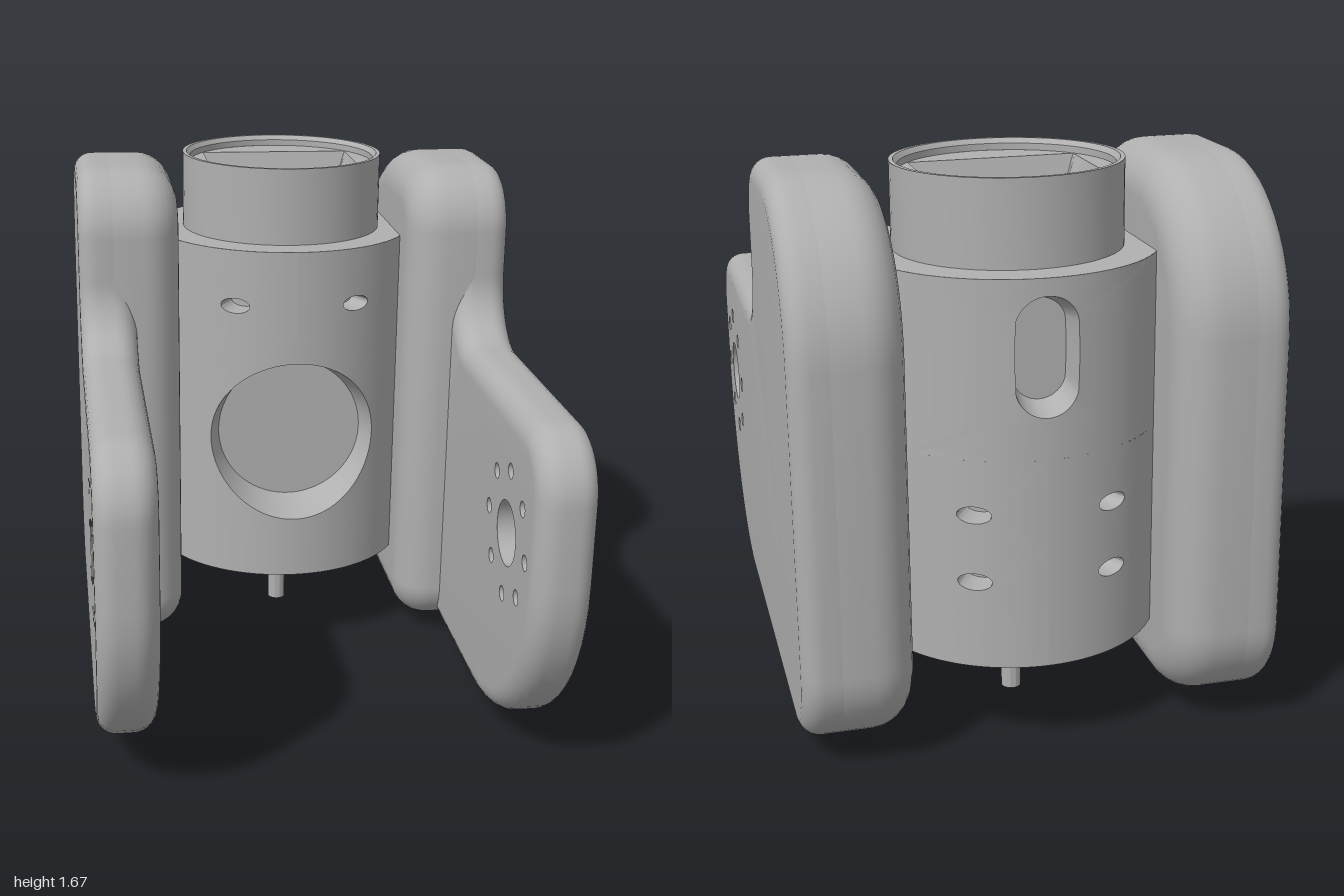
import * as THREE from 'three';
import { mergeGeometries, toCreasedNormals } from 'three/addons/utils/BufferGeometryUtils.js';

const R = 0.435; // body radius
const AXIS = [-0.015, 0, -0.525]; // body axis

// Skin closed rings of [x, y, z] points, one after the other
function loft(rings) {
  const n = rings[0].length, index = [];
  for (let i = 0; i < rings.length - 1; i++) {
    for (let j = 0; j < n; j++) {
      const k = (j + 1) % n, a = i * n, b = a + n;
      index.push(a + j, a + k, b + k, a + j, b + k, b + j);
    }
  }
  const g = new THREE.BufferGeometry();
  g.setAttribute('position', new THREE.Float32BufferAttribute(rings.flat(2), 3));
  g.setIndex(index);
  return g;
}

// Points around a rectangle, counter-clockwise, corners included
function perimeter(x0, x1, y0, y1, n) {
  const c = [[x0, y0], [x1, y0], [x1, y1], [x0, y1]], out = [];
  for (let s = 0; s < 4; s++) {
    const a = c[s], b = c[(s + 1) % 4];
    for (let i = 0; i < n; i++) out.push([a[0] + (b[0] - a[0]) * i / n, a[1] + (b[1] - a[1]) * i / n]);
  }
  return out;
}

// Polygon with rounded corners, given as [x, y, radius]
function roundedShape(corners) {
  const shape = new THREE.Shape(), n = corners.length;
  corners.forEach(([x, y, r], i) => {
    const c = new THREE.Vector2(x, y);
    const toward = (k, d) => {
      const o = corners[(i + k + n) % n];
      return new THREE.Vector2(o[0], o[1]).sub(c).setLength(d).add(c);
    };
    const a = toward(-1, r), b = toward(1, r), h = toward(-1, r * 0.45), k = toward(1, r * 0.45);
    if (i === 0) shape.moveTo(a.x, a.y); else shape.lineTo(a.x, a.y);
    shape.bezierCurveTo(h.x, h.y, k.x, k.y, b.x, b.y);
  });
  shape.closePath();
  return shape;
}

// Slab from depth q0 to q1 with a different edge rounding on each face
function roundedSlab(shape, q0, q1, r0, r1, holes = []) {
  let pts = shape.getPoints(14);
  pts = pts.filter((p, i) => p.distanceTo(pts[(i + 1) % pts.length]) > 1e-5);
  const n = pts.length;
  const normals = pts.map((p, i) => {
    const a = p.clone().sub(pts[(i + n - 1) % n]).normalize();
    const t = pts[(i + 1) % n].clone().sub(p).normalize().add(a).normalize();
    return new THREE.Vector2(t.y, -t.x);
  });
  const inset = d => pts.map((p, i) => p.clone().addScaledVector(normals[i], -d));
  const ring = (d, q) => inset(d).map(p => [p.x, p.y, q]);
  const rings = [], steps = 7;
  for (let i = 0; i <= steps; i++) {
    const f = i / steps * Math.PI / 2;
    rings.push(ring(r0 * (1 - Math.sin(f)), q0 + r0 * (1 - Math.cos(f))));
  }
  for (let i = 0; i <= steps; i++) {
    const f = i / steps * Math.PI / 2;
    rings.push(ring(r1 * (1 - Math.cos(f)), q1 - r1 * (1 - Math.sin(f))));
  }
  const cap = (d, q, flip) => {
    const s = new THREE.Shape(inset(d));
    for (const [x, y, r] of holes) s.holes.push(new THREE.Path().absarc(x, y, r, 0, Math.PI * 2, true));
    const g = new THREE.ShapeGeometry(s, 16).translate(0, 0, q);
    if (flip) g.index.array.reverse();
    g.deleteAttribute('normal');
    g.deleteAttribute('uv');
    return g;
  };
  return toCreasedNormals(mergeGeometries([loft(rings), cap(r0, q0, true), cap(r1, q1, false)]), 0.6);
}

// Piece of the body wall with a pocket; angles are measured from the front
function pocketTile(a0, a1, y0, y1, ac, yc, edge, scale, floorZ) {
  const rect = perimeter(a0 - ac, a1 - ac, y0 - yc, y1 - yc, 24);
  const hole = rect.map(([a, y]) => edge(Math.atan2(y, a * R)));
  const rings = [];
  for (let k = 0; k <= 6; k++) {
    rings.push(rect.map(([a, y], i) => {
      const t = k / 6, b = a + (Math.asin(hole[i][0] / R) - a) * t;
      return [R * Math.sin(b), yc + y + (hole[i][1] - y) * t, R * Math.cos(b)];
    }));
  }
  rings.push(hole.map(([x, y]) => [x * scale, yc + y * scale, floorZ]));
  rings.push(hole.map(() => [0, yc, floorZ]));
  return toCreasedNormals(loft(rings), 0.5).rotateY(ac);
}

export function createModel() {
  const grey = new THREE.MeshStandardMaterial({ color: 0xb0b0b0, side: THREE.DoubleSide });
  grey.name = 'grey';
  const model = new THREE.Group();
  const add = (parent, name, geometry) => {
    const m = new THREE.Mesh(geometry, grey);
    m.name = name;
    parent.add(m);
    return m;
  };
  const lathe = pts => toCreasedNormals(
    new THREE.LatheGeometry(pts.map(p => new THREE.Vector2(...p)), 72), 0.5);

  // Side arms: a holed plate with a thicker rear block
  const plateShape = roundedShape([
    [-0.98, 0.055, 0.62], [0.985, 0.055, 0.27], [0.985, 1.655, 0.46],
    [0.105, 1.655, 0.2], [0.105, 1.125, 0.19], [-0.98, 1.125, 0.2]]);
  const blockShape = roundedShape([
    [0.105, 0.055, 0.14], [0.985, 0.055, 0.27], [0.985, 1.655, 0.46], [0.105, 1.655, 0.2]]);
  const holes = [[-0.663, 0.73, 0.1]];
  for (let i = 0; i < 8; i++) {
    const a = i * Math.PI / 4 + 0.04;
    holes.push([-0.663 + 0.2 * Math.cos(a), 0.73 + 0.2 * Math.sin(a), 0.024]);
  }
  const plate = roundedSlab(plateShape, 0.52, 0.7, 0.07, 0.06, holes);
  const block = roundedSlab(blockShape, 0.375, 0.6, 0.12, 0.01);
  for (const side of [1, -1]) {
    const arm = new THREE.Group();
    arm.name = side > 0 ? 'leftArm' : 'rightArm';
    const frame = new THREE.Group();
    frame.rotation.y = Math.PI / 2;
    add(frame, 'armPlate', plate);
    add(frame, 'armBlock', block);
    for (const [x, y, r] of holes) {
      const wall = new THREE.CylinderGeometry(r, r, 0.18, 32, 1, true).rotateX(Math.PI / 2);
      add(frame, 'holeWall', wall).position.set(x, y, 0.61);
    }
    arm.add(frame);
    arm.scale.x = side;
    arm.position.x = AXIS[0];
    model.add(arm);
  }

  // Body wall
  const body = new THREE.Group();
  body.name = 'body';
  body.position.set(...AXIS);
  model.add(body);
  const ellipse = t => [0.05 * Math.cos(t), 0.025 * Math.sin(t)];
  const round = t => [0.275 * Math.cos(t), 0.275 * Math.sin(t)];
  const slot = t => [0.09 * Math.cos(t), 0.09 * Math.sin(t) + 0.08 * THREE.MathUtils.clamp(Math.sin(t) * 4, -1, 1)];
  const W = 0.9, PI = Math.PI, B = 0.28, T = 1.41, H = 0.478;
  add(body, 'frontWindow', pocketTile(-W, W, B, 1.12, 0, 0.76, round, 0.88, 0.27));
  add(body, 'backSlot', pocketTile(PI - W, PI + W, 0.9, T, PI, 1.19, slot, 0.85, 0.34));
  for (const s of [-1, 1]) {
    const lo = s < 0 ? -W : 0, hi = lo + W;
    add(body, 'frontSmallHole', pocketTile(lo, hi, 1.12, T, s * H, 1.225, ellipse, 0.9, 0.35));
    add(body, 'backLowerHole', pocketTile(PI + lo, PI + hi, B, 0.64, PI + s * H, 0.54, ellipse, 0.9, 0.35));
    add(body, 'backUpperHole', pocketTile(PI + lo, PI + hi, 0.64, 0.9, PI + s * H, 0.74, ellipse, 0.9, 0.35));
    const start = s > 0 ? W : PI + W;
    const wall = new THREE.CylinderGeometry(R, R, T - B, 32, 1, true, start, PI - 2 * W);
    add(body, 'sideWall', wall).position.y = (T + B) / 2;
  }

  // Recessed underside, shoulder and neck
  add(body, 'underside', lathe([[0, 0.32], [0.36, 0.32], [0.36, B], [R, B]]));
  add(body, 'neck', lathe([[R, T], [0.335, T], [0.335, 1.66], [0.322, 1.66], [0.31, 1.645], [0.31, 1.625]]));

  // Hopper: round deck, rectangular mouth, tapering to a narrow bore
  const mouth = perimeter(-0.25, 0.25, -0.18, 0.18, 20);
  const around = (y, fn) => mouth.map(([u, v]) => {
    const [x, z] = fn(Math.atan2(v, u), u, v);
    return [x, y, -z];
  });
  const circle = r => t => [r * Math.cos(t), r * Math.sin(t)];
  add(body, 'hopper', toCreasedNormals(loft([
    around(1.625, circle(0.31)),
    around(1.625, (t, u, v) => [u, v]),
    around(1.25, t => [0.14 * Math.cos(t), THREE.MathUtils.clamp(0.14 * Math.sin(t), -0.08, 0.08)]),
    around(1.25, circle(0.045)),
    around(1.15, circle(0.045)),
    around(1.15, () => [0, 0])]), 0.5));

  // Bottom boss and pin
  add(body, 'bossAndPin', lathe([[0, 0], [0.03, 0], [0.03, 0.255], [0.055, 0.255], [0.07, 0.28], [0.07, 0.32]]));

  // Slight overall lean and turn
  model.rotation.set(0, -0.026, -0.016);
  const root = new THREE.Group();
  root.name = 'model';
  root.add(model);
  return root;
}
